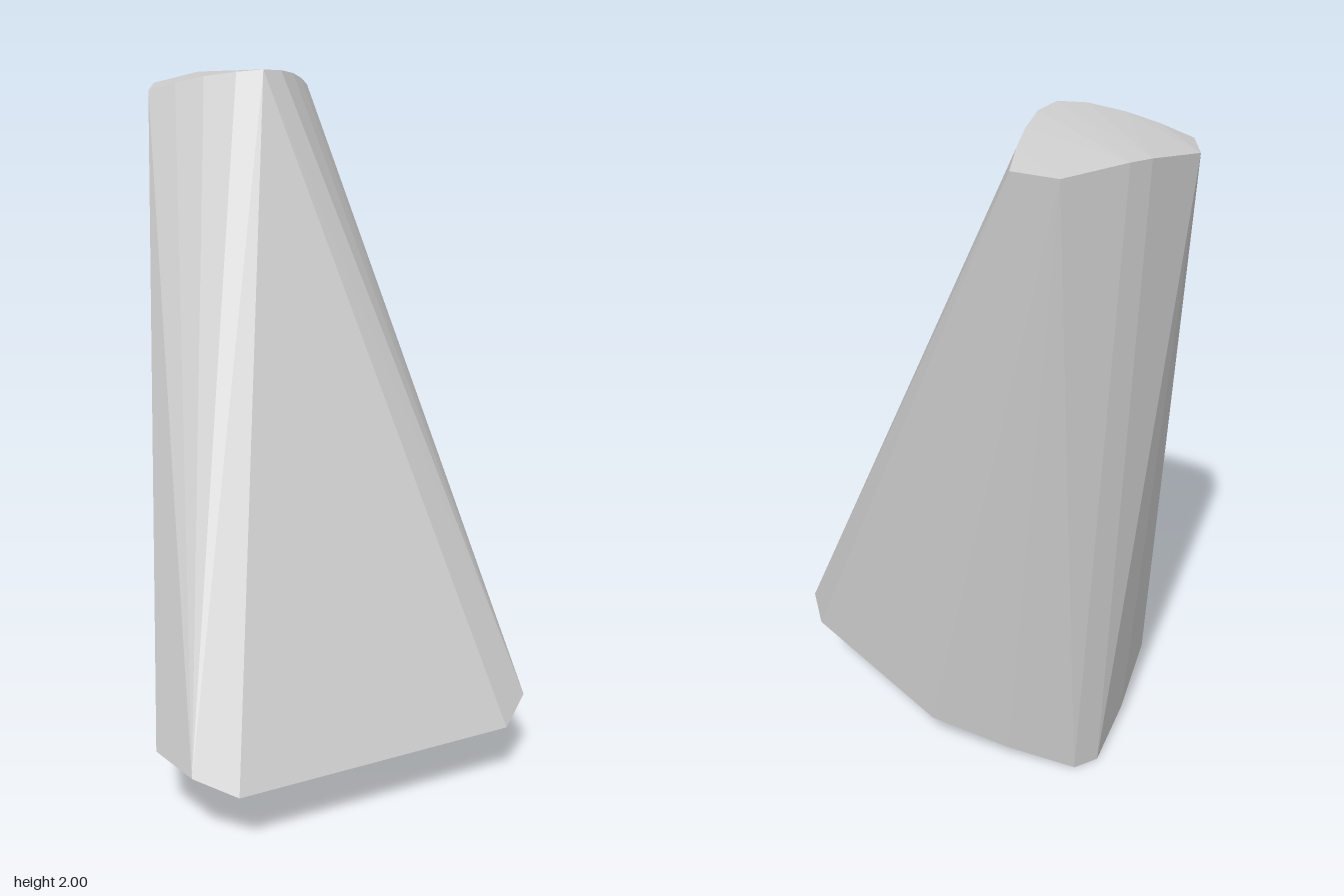
import * as THREE from 'three';
import { ConvexGeometry } from 'three/addons/geometries/ConvexGeometry.js';

// Half outlines (x >= 0), listed from front to back
const topRim = [
  [0, 2, -0.165], [0.07, 1.994, -0.195], [0.14, 1.98, -0.262], [0.2, 1.96, -0.33],
  [0.255, 1.935, -0.4], [0.19, 1.945, -0.525], [0.03, 1.97, -0.565],
];
const baseRim = [
  [0.42, 0.195, 0.56], [0.525, 0.243, 0.49], [0.563, 0.25, 0.33],
  [0.375, 0.11, -0.1], [0.2, 0.048, -0.265], [0.04, 0, -0.39],
];
// Slight bulge of the underside near its front edge
const underside = [[0, 0.158, 0.49], [0.2, 0.168, 0.49]];

// Mirror a half outline across x = 0
const mirrored = (half) => half.flatMap(([x, y, z]) =>
  (x === 0 ? [x] : [x, -x]).map((px) => new THREE.Vector3(px, y, z)));

export function createModel() {
  const model = new THREE.Group();

  // Leaning, tapered faceted block spanning the two rims
  const geometry = new ConvexGeometry([topRim, baseRim, underside].flatMap(mirrored));
  const material = new THREE.MeshStandardMaterial({ color: 0xcccccc, flatShading: true });
  const body = new THREE.Mesh(geometry, material);
  body.name = 'taperedBody';
  model.add(body);

  return model;
}
